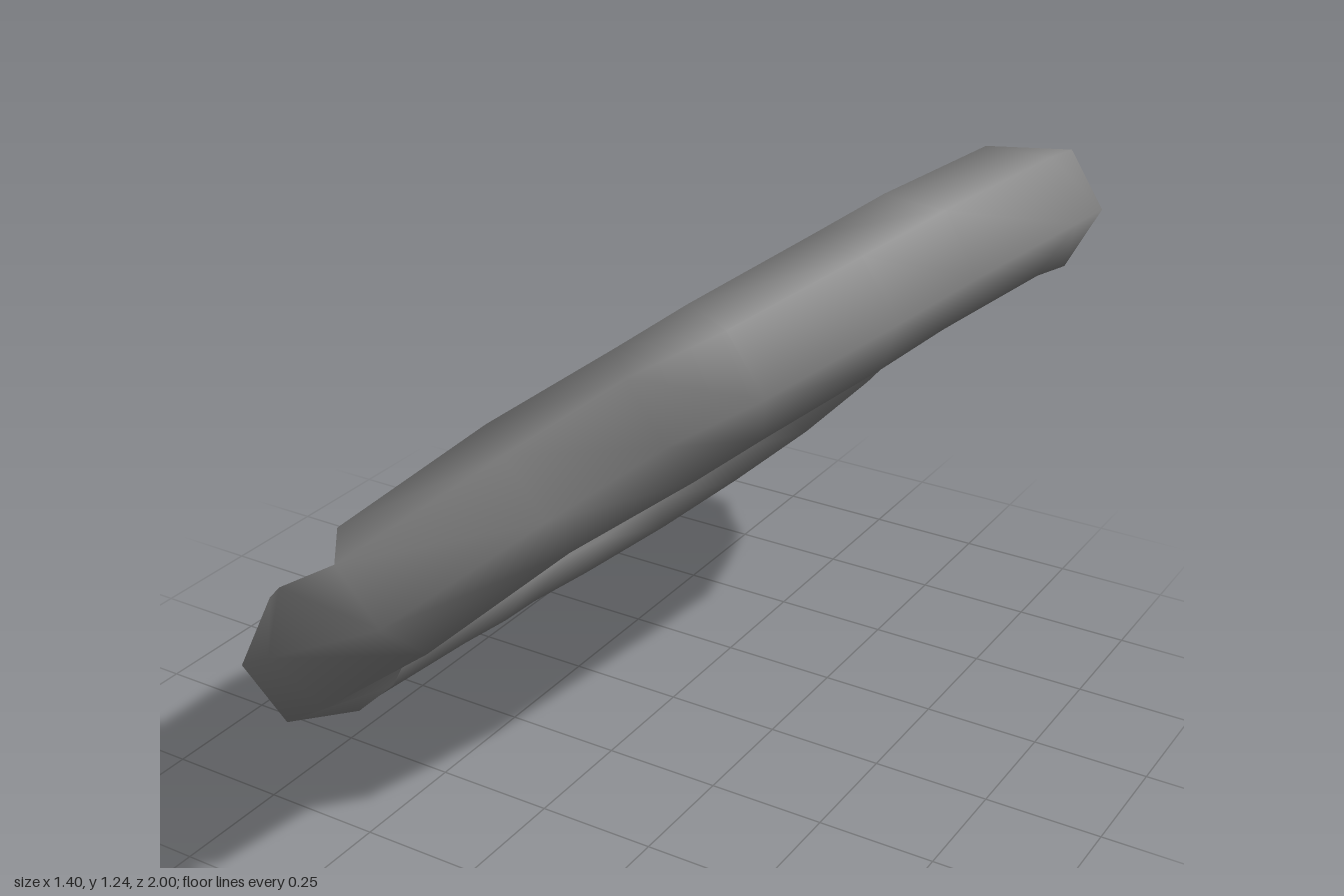
import * as THREE from 'three';

// Closed centre line of the bent ring
const PATH = [
  [0.05, 0.68, -0.865], [0.27, 0.86, -0.83], [0.41, 0.98, -0.73], [0.52, 1.06, -0.6],
  [0.557, 1.12, -0.39], [0.52, 1.123, -0.02], [0.47, 1.09, 0.15], [0.35, 1.01, 0.39],
  [0.27, 0.95, 0.5], [0.07, 0.8, 0.62], [-0.07, 0.67, 0.88], [-0.22, 0.51, 0.84],
  [-0.35, 0.39, 0.76], [-0.48, 0.28, 0.61], [-0.56, 0.19, 0.44], [-0.48, 0.24, 0.2],
  [-0.515, 0.19, 0], [-0.55, 0.15, -0.17], [-0.55, 0.125, -0.38], [-0.45, 0.195, -0.55],
  [-0.34, 0.285, -0.7], [-0.2, 0.41, -0.8], [-0.06, 0.55, -0.86],
].map((p) => new THREE.Vector3(...p));

// Hexagonal sections kept level with the world, joined into a closed tube
function ringTube(path, radius, sides) {
  const n = path.length;
  const positions = [];
  const indices = [];
  const worldUp = new THREE.Vector3(0, 1, 0);
  path.forEach((p, i) => {
    const tangent = path[(i + 1) % n].clone().sub(path[(i + n - 1) % n]).normalize();
    const side = tangent.clone().cross(worldUp).normalize();
    const up = side.clone().cross(tangent);
    for (let j = 0; j < sides; j++) {
      const a = (j / sides) * Math.PI * 2;
      const v = p.clone()
        .addScaledVector(side, Math.cos(a) * radius)
        .addScaledVector(up, Math.sin(a) * radius);
      positions.push(v.x, v.y, v.z);

      const k = (j + 1) % sides;
      const here = i * sides;
      const next = ((i + 1) % n) * sides;
      indices.push(here + j, next + j, here + k, here + k, next + j, next + k);
    }
  });
  const geometry = new THREE.BufferGeometry();
  geometry.setAttribute('position', new THREE.Float32BufferAttribute(positions, 3));
  geometry.setIndex(indices);
  geometry.computeVertexNormals();
  return geometry;
}

export function createModel() {
  const group = new THREE.Group();
  group.name = 'bentRing';

  const grey = new THREE.MeshStandardMaterial({ color: 0x888888 });
  grey.name = 'grey';

  const ring = new THREE.Mesh(ringTube(PATH, 0.14, 6), grey);
  ring.name = 'ringTube';
  group.add(ring);
  return group;
}
